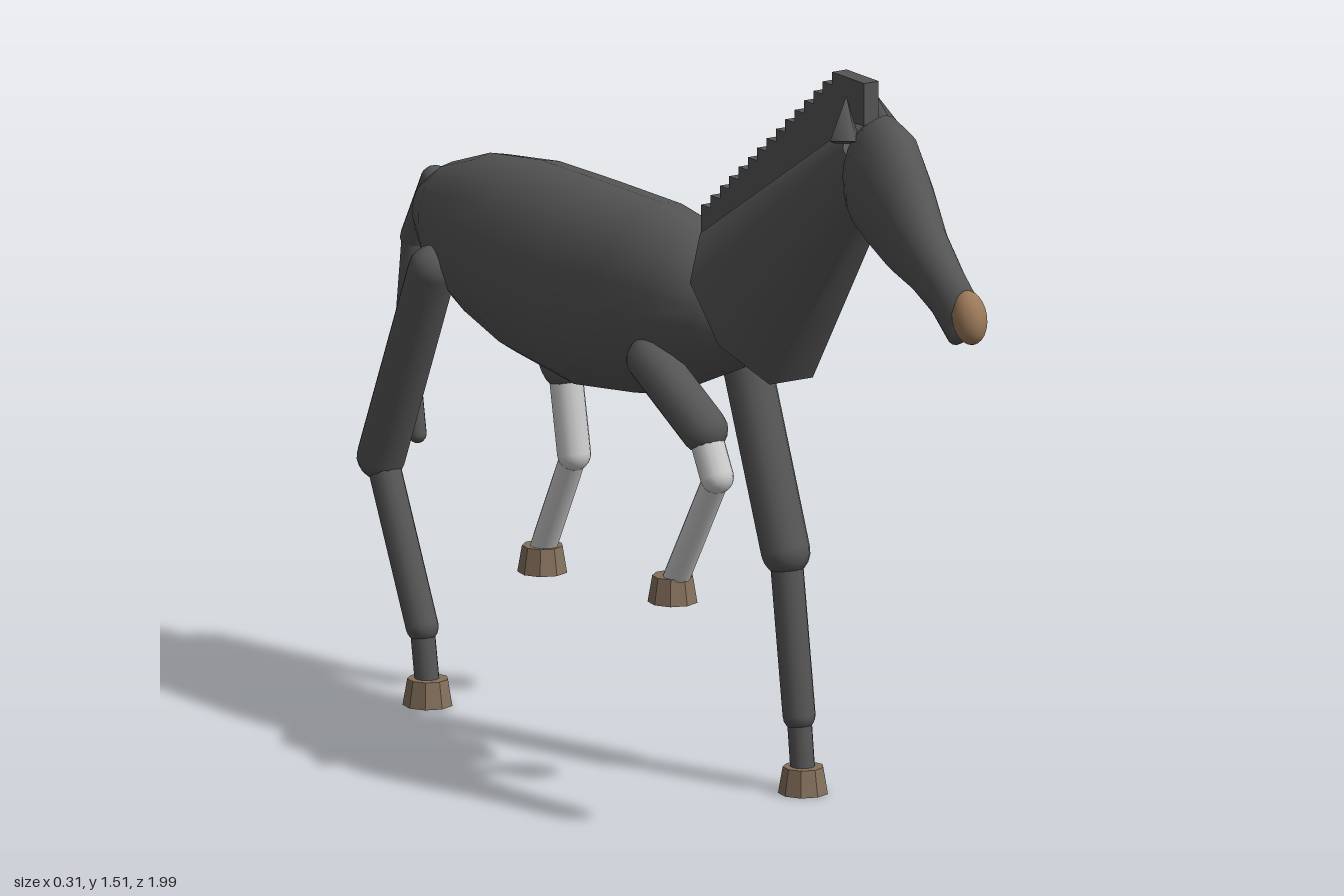
import * as THREE from 'three';

const mat = (color) => new THREE.MeshStandardMaterial({ color });
const V = (x, y, z) => new THREE.Vector3(x, y, z);
const UP = V(0, 1, 0);

// Closed loft, listed front to back. Station: [zTop, yTop, zBottom, yBottom, halfWidth]
function loft(stations, n = 20) {
  const pos = [], idx = [];
  for (const [zt, yt, zb, yb, w] of stations) {
    for (let j = 0; j < n; j++) {
      const a = (j / n) * Math.PI * 2, c = Math.cos(a) / 2;
      pos.push(w * Math.sin(a), (yt + yb) / 2 + (yt - yb) * c, (zt + zb) / 2 + (zt - zb) * c);
    }
  }
  const last = stations.length - 1;
  for (let i = 0; i < last; i++) {
    for (let j = 0; j < n; j++) {
      const k = (j + 1) % n, a = i * n + j, b = i * n + k;
      idx.push(a, b, a + n, b, b + n, a + n);
    }
  }
  // End caps
  for (const i of [0, last]) {
    const [zt, yt, zb, yb] = stations[i], c = pos.length / 3;
    pos.push(0, (yt + yb) / 2, (zt + zb) / 2);
    for (let j = 0; j < n; j++) {
      const a = i * n + j, b = i * n + ((j + 1) % n);
      idx.push(c, i ? a : b, i ? b : a);
    }
  }
  const g = new THREE.BufferGeometry();
  g.setAttribute('position', new THREE.Float32BufferAttribute(pos, 3));
  g.setIndex(idx);
  g.computeVertexNormals();
  return g;
}

export function createModel() {
  const model = new THREE.Group();
  const coat = mat(0x555555), pale = mat(0xcccccc), horn = mat(0x84705c), nose = mat(0x9c7a5a);

  const add = (name, geometry, material, parent = model) => {
    const m = new THREE.Mesh(geometry, material);
    m.name = name;
    parent.add(m);
    return m;
  };
  // Place a mesh built along y so that it runs from a to b
  const span = (m, a, b) => {
    m.position.copy(a).lerp(b, 0.5);
    m.quaternion.setFromUnitVectors(UP, b.clone().sub(a).normalize());
    return m;
  };
  // Round-ended segment in the plane at x, between [z, y] points
  const limb = (name, x, [z0, y0], [z1, y1], r, material, parent) => {
    const a = V(x, y0, z0), b = V(x, y1, z1);
    return span(add(name, new THREE.CapsuleGeometry(r, a.distanceTo(b), 5, 14), material, parent), a, b);
  };

  // Barrel of the body
  add('body', loft([
    [0.235, 0.935, 0.225, 0.905, 0.03],
    [0.16, 1.04, 0.14, 0.83, 0.1],
    [0.04, 1.098, 0.0, 0.77, 0.133],
    [-0.1, 1.116, -0.13, 0.73, 0.15],
    [-0.33, 1.115, -0.33, 0.704, 0.156],
    [-0.52, 1.112, -0.53, 0.725, 0.15],
    [-0.69, 1.09, -0.67, 0.76, 0.125],
    [-0.82, 1.045, -0.78, 0.8, 0.093],
    [-0.89, 1.0, -0.86, 0.86, 0.055],
    [-0.905, 0.95, -0.895, 0.91, 0.02],
  ]), coat);

  // Tapered eight-sided neck, flattened sideways
  const neckBase = V(0, 0.98, 0.225), neckTop = V(0, 1.355, 0.617);
  const neck = add('neck', new THREE.CylinderGeometry(0.078, 0.187, neckBase.distanceTo(neckTop), 8, 1, false, Math.PI / 8), coat);
  span(neck, neckBase, neckTop).scale.x = 0.7;

  // Head and muzzle
  add('head', loft([
    [0.955, 1.155, 0.915, 1.047, 0.037],
    [0.9, 1.2, 0.86, 1.095, 0.04],
    [0.83, 1.27, 0.8, 1.125, 0.047],
    [0.77, 1.365, 0.72, 1.15, 0.06],
    [0.72, 1.43, 0.65, 1.185, 0.068],
    [0.665, 1.45, 0.605, 1.213, 0.066],
    [0.61, 1.42, 0.595, 1.225, 0.055],
  ]), coat);
  const muzzle = add('muzzle', new THREE.SphereGeometry(1, 16, 12), nose);
  muzzle.position.set(0, 1.11, 0.957);
  muzzle.scale.set(0.034, 0.053, 0.036);
  muzzle.rotation.x = -0.25;

  // Ears
  for (const s of [1, -1]) {
    const a = V(s * 0.05, 1.39, 0.605), b = V(s * 0.032, 1.475, 0.582);
    span(add(s > 0 ? 'leftEar' : 'rightEar', new THREE.ConeGeometry(0.036, a.distanceTo(b), 4), coat), a, b);
  }

  // Stepped mane along the crest
  const mane = new THREE.Group();
  mane.name = 'mane';
  model.add(mane);
  for (let i = 0; i < 15; i++) {
    const t = i / 14;
    add('maneBlock', new THREE.BoxGeometry(0.034, 0.085, 0.11), coat, mane)
      .position.set(0, 1.463 - 0.358 * t, 0.565 - 0.45 * t);
  }

  // Tail in three drooping segments
  const tail = [[-0.88, 0.997], [-0.95, 0.87], [-0.974, 0.68], [-0.94, 0.48]];
  [0.028, 0.025, 0.018].forEach((r, i) => limb('tailSegment', 0, tail[i], tail[i + 1], r, coat));

  // Legs: joints from the top down as [z, y], one radius per segment, then the hoof
  const leg = (name, x, joints, radii, shin, [hz, hy]) => {
    const g = new THREE.Group();
    g.name = name;
    model.add(g);
    radii.forEach((r, i) => limb(i ? 'lowerLeg' : 'upperLeg', x, joints[i], joints[i + 1], r, i ? shin : coat, g));
    add('hoof', new THREE.CylinderGeometry(0.04, 0.049, 0.052, 9).toNonIndexed(), horn, g)
      .position.set(x, hy + 0.026, hz);
    g.children.at(-1).geometry.computeVertexNormals();
  };
  const planted = [0.048, 0.032, 0.024], raised = [0.047, 0.033, 0.026];
  leg('leftFrontLeg', 0.107, [[0.02, 0.845], [0.167, 0.465], [0.213, 0.15], [0.226, 0.04]], planted, coat, [0.228, 0]);
  leg('rightFrontLeg', -0.107, [[0.02, 0.845], [0.203, 0.745], [0.248, 0.66], [0.105, 0.425]], raised, pale, [0.097, 0.382]);
  leg('leftHindLeg', 0.107, [[-0.73, 0.865], [-0.592, 0.675], [-0.56, 0.505], [-0.665, 0.3]], raised, pale, [-0.668, 0.25]);
  leg('rightHindLeg', -0.107, [[-0.73, 0.865], [-0.905, 0.46], [-0.765, 0.15], [-0.747, 0.04]], planted, coat, [-0.745, 0]);

  return model;
}
